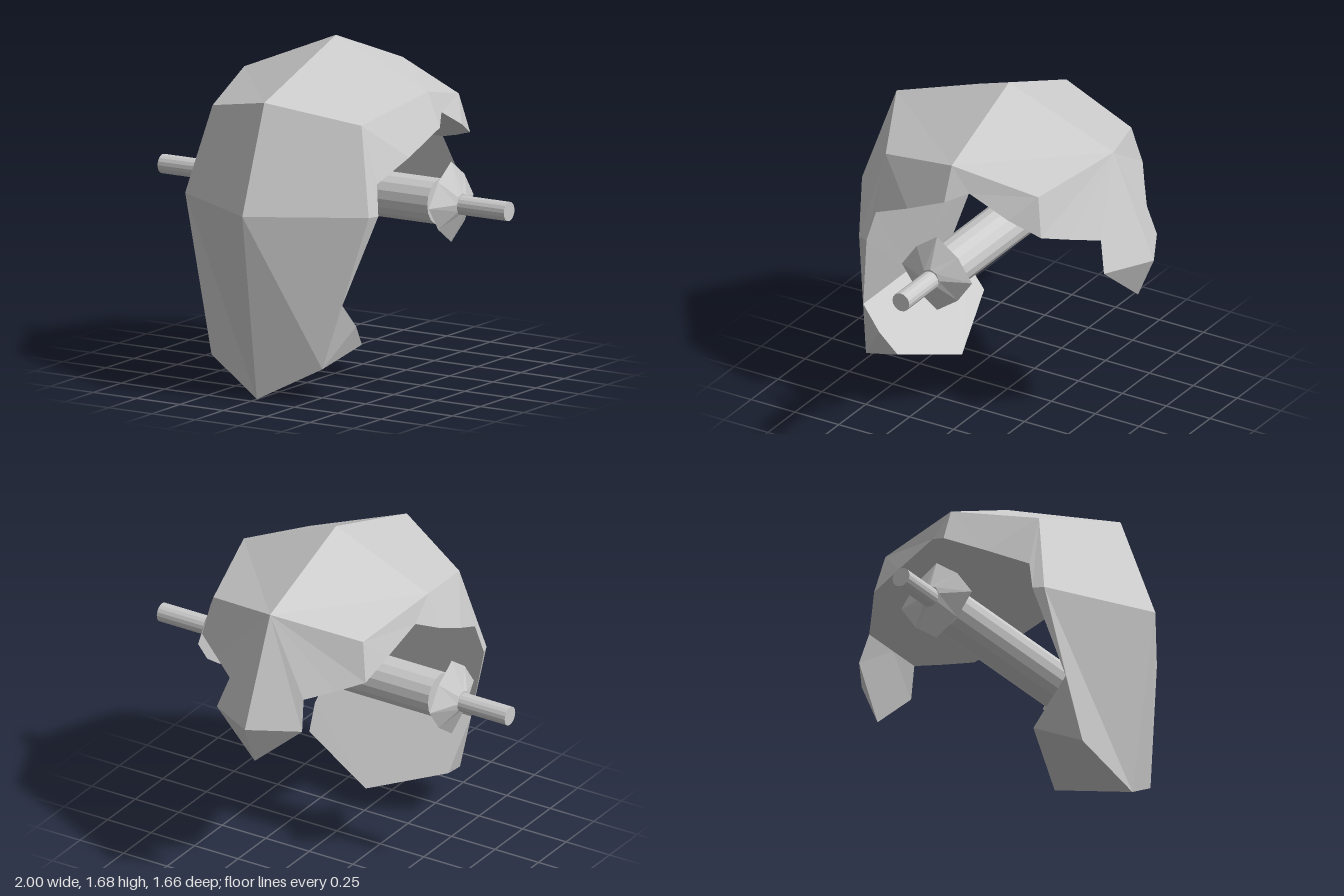
import * as THREE from 'three';

const material = new THREE.MeshStandardMaterial({ color: 0xcccccc, flatShading: true });

// Corners of the +x half of the shell: p = centre ridge, s = shoulder,
// r = cut edge along the opening, c = middle of the inner faces
const points = {
  p0: [0, 0, 0.70], p1: [0, 0.93, 0.83], p2: [0, 1.46, 0.633],
  p3: [0, 1.68, -0.008], p4: [0, 1.46, -0.604], p5: [0, 0.93, -0.833], tip: [0, 0.72, -0.743],
  s0: [0.32, 0.17, 0.61], s1: [0.53, 0.93, 0.52], s2: [0.43, 1.36, 0.43],
  s3: [0.53, 1.46, -0.008], s4: [0.43, 1.36, -0.44],
  r0: [0.40, 0.26, 0.38], r1: [0.425, 0.37, 0.47], r2: [0.41, 0.49, 0.57],
  r3: [0.55, 0.93, 0.465], r4: [0.52, 1.08, 0.43], r5: [0.57, 1.18, 0.22],
  r6: [0.60, 1.29, -0.008], r7: [0.54, 1.34, -0.115], r8: [0.52, 1.24, -0.325],
  r9: [0.47, 1.165, -0.48], r10: [0.335, 1.12, -0.565], r11: [0.20, 1.08, -0.655],
  r12: [0.245, 0.93, -0.70],
  c0: [0, 0.115, 0.26], c2: [0, 0.49, 0.57], c4: [0, 1.08, 0.43],
  c7: [0, 1.34, -0.115], c11: [0, 1.08, -0.655],
};

// The cut edge runs straighter on the -x half (x before mirroring)
const straighterX = { r1: 0.405, r7: 0.525, r8: 0.495, r10: 0.35, r11: 0.225 };

// Each face is a fan around its first corner
const faces = [
  // crown and back
  'p1 s1 s2 p2', 'p2 s2 s3 p3', 'p4 p3 s3 s4', 'p4 s4 r9 r10 r11 r12 p5', 'p5 r12 tip',
  // sides
  'r2 r3 s1 s0', 's0 r0 r1 r2', 's2 s1 r3 r4 r5', 's3 s2 r5 r6', 'r7 s4 s3 r6', 's4 r7 r8 r9',
  // underside of the chin
  'c0 r0 s0 p0',
  // flat inner walls of the opening
  'c0 c2 r2 r1 r0', 'c2 c4 r4 r3 r2', 'c4 c7 r7 r6 r5 r4', 'c7 c11 r11 r10 r9 r8 r7', 'c11 tip r12 r11',
];

function createShell() {
  const positions = [];
  for (const side of [1, -1]) {
    // The front plate folds along a different diagonal on each half
    const front = side > 0 ? 'p1 p0 s0 s1' : 'p0 s0 s1 p1';
    for (const face of [front, ...faces]) {
      const corners = face.split(' ').map((name) => {
        const [x, y, z] = points[name];
        return side > 0 ? [x, y, z] : [-(straighterX[name] ?? x), y, z];
      });
      for (let i = 1; i < corners.length - 1; i++) {
        const tri = [corners[0], corners[i], corners[i + 1]];
        if (side < 0) tri.reverse();
        positions.push(...tri.flat());
      }
    }
  }
  const geometry = new THREE.BufferGeometry();
  geometry.setAttribute('position', new THREE.Float32BufferAttribute(positions, 3));
  geometry.computeVertexNormals();
  return geometry;
}

// Eight-sided collar: wide flat inner face, tapering outward to the rod
function createCollar() {
  const geometry = new THREE.CylinderGeometry(0.05, 0.2, 0.065, 8);
  const pos = geometry.attributes.position;
  for (let i = 0; i < pos.count; i++) {
    const x = pos.getX(i), z = pos.getZ(i);
    const diagonal = Math.min(Math.abs(x), Math.abs(z)) > 0.1;
    if (diagonal) pos.setXYZ(i, x * 0.83, pos.getY(i), z * 0.83);
  }
  geometry.rotateZ(-Math.PI / 2);
  return geometry;
}

export function createModel() {
  const model = new THREE.Group();
  const add = (name, geometry, x = 0, y = 0, z = 0) => {
    const mesh = new THREE.Mesh(geometry, material);
    mesh.name = name;
    mesh.position.set(x, y, z);
    model.add(mesh);
    return mesh;
  };

  add('shell', createShell());

  // Axle assembly running across the opening
  const axleZ = -0.008;
  add('rod', new THREE.CylinderGeometry(0.048, 0.048, 2, 16).rotateZ(Math.PI / 2), 0, 0.921, axleZ);
  add('hub', new THREE.CylinderGeometry(0.113, 0.113, 1.2, 16).rotateZ(Math.PI / 2), 0, 0.924, axleZ);
  add('leftCollar', createCollar(), 0.698, 0.93, axleZ);
  add('rightCollar', createCollar(), -0.698, 0.93, axleZ).rotation.y = Math.PI;

  return model;
}
